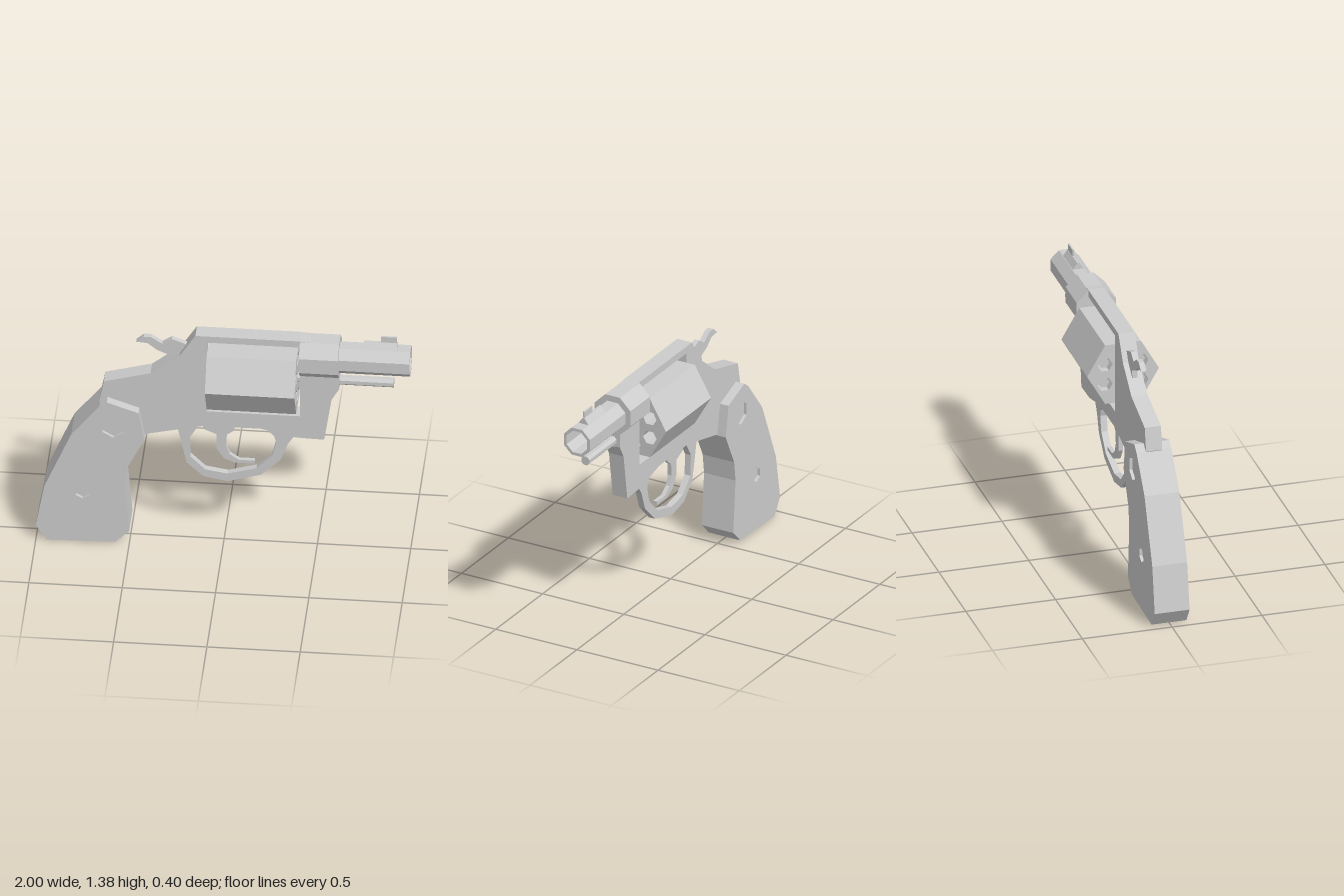
import * as THREE from 'three';

const steel = new THREE.MeshStandardMaterial({ color: 0xcccccc });
steel.name = 'plainGrey';

// regular polygon points; start is the angle of the first corner
function ngon(n, r, cx, cy, start = 0) {
  return Array.from({ length: n }, (_, i) => {
    const a = start + (i / n) * Math.PI * 2;
    return new THREE.Vector2(cx + r * Math.cos(a), cy + r * Math.sin(a));
  });
}
const points = (list) => list.map(([x, y]) => new THREE.Vector2(x, y));
const octagon = (apothem, y) => ngon(8, apothem / Math.cos(Math.PI / 8), 0, y, Math.PI / 8);

function extruded(outline, holes, depth) {
  const shape = new THREE.Shape(outline);
  holes.forEach((h) => shape.holes.push(new THREE.Path(h)));
  return new THREE.ExtrudeGeometry(shape, { depth, bevelEnabled: false });
}

export function createModel() {
  const model = new THREE.Group();
  model.name = 'revolver';
  const add = (name, geometry) => {
    const mesh = new THREE.Mesh(geometry, steel);
    mesh.name = name;
    model.add(mesh);
    return mesh;
  };
  // side profile in x/y, from z0 to z1
  const plate = (name, outline, z0, z1, holes = []) =>
    add(name, extruded(outline, holes, z1 - z0).translate(0, 0, z0));
  // cross-section in z/y, running along x
  const bar = (name, section, x0, x1, holes = []) =>
    add(name, extruded(section, holes, x1 - x0).rotateY(Math.PI / 2).translate(x0, 0, 0));

  // frame with the cylinder window
  plate('frame', points([
    [-0.64, 1.02], [-0.39, 1.09], [-0.235, 1.215], [-0.15, 1.35], [0.41, 1.35], [0.62, 1.33],
    [0.62, 1.05], [0.58, 0.98], [0.54, 0.715], [0.39, 0.72], [0.2, 0.765], [-0.1, 0.765],
    [-0.42, 0.69], [-0.55, 0.7], [-0.665, 0.89],
  ]), -0.045, 0.045, [points([[-0.09, 0.86], [0.41, 0.86], [0.41, 1.31], [-0.09, 1.31]])]);

  // grip: core and two side panels with recessed screw holes
  const gripOutline = points([
    [-0.62, 0.92], [-0.45, 0.86], [-0.42, 0.685], [-0.51, 0.5], [-0.525, 0.385], [-0.5, 0.085],
    [-0.575, 0.01], [-0.94, 0], [-1, 0.09], [-0.955, 0.35], [-0.81, 0.7], [-0.66, 0.89],
  ]);
  const screwHoles = [
    ngon(6, 0.068, -0.585, 0.76, Math.PI / 6),
    ngon(6, 0.042, -0.75, 0.325, Math.PI / 6),
  ];
  plate('gripCore', gripOutline, -0.08, 0.08);
  plate('gripPanelLeft', gripOutline, 0.08, 0.097, screwHoles);
  plate('gripPanelRight', gripOutline, -0.097, -0.08, screwHoles);

  // trigger guard and trigger
  plate('triggerGuard', points([
    [-0.25, 0.735], [-0.2, 0.5], [-0.11, 0.415], [0.02, 0.39], [0.2, 0.445], [0.305, 0.55],
    [0.34, 0.65], [0.39, 0.73], [0.2, 0.775], [0.27, 0.7], [0.28, 0.66], [0.26, 0.575],
    [0.175, 0.485], [0.02, 0.44], [-0.1, 0.46], [-0.18, 0.54], [-0.185, 0.66], [-0.12, 0.77],
  ]), -0.018, 0.018);
  plate('trigger', points([
    [-0.12, 0.77], [-0.11, 0.72], [-0.04, 0.69], [-0.04, 0.6], [0, 0.535], [0.06, 0.51],
    [0.165, 0.51], [0.165, 0.53], [0.08, 0.53], [0.03, 0.565], [0.01, 0.62], [0.015, 0.69],
    [0.055, 0.72], [0.06, 0.77],
  ]), -0.012, 0.012);

  // hammer with curled spur
  plate('hammer', points([
    [-0.47, 1.27], [-0.43, 1.305], [-0.39, 1.305], [-0.33, 1.265], [-0.28, 1.3], [-0.2, 1.27],
    [-0.2, 1.2], [-0.31, 1.13], [-0.305, 1.2], [-0.36, 1.225], [-0.41, 1.265],
  ]), -0.015, 0.015);

  // six-sided cylinder with chambers, each holding a pointed slug
  const chambers = [];
  for (let i = 0; i < 6; i++) {
    const a = Math.PI / 6 + (i * Math.PI) / 3;
    const z = 0.115 * Math.cos(a), y = 1.085 + 0.115 * Math.sin(a);
    chambers.push(ngon(6, 0.042, z, y));
    const slug = new THREE.CylinderGeometry(0.006, 0.031, 0.08, 6).toNonIndexed();
    slug.rotateY(Math.PI / 2).rotateZ(-Math.PI / 2).computeVertexNormals();
    add('slug', slug.translate(0.3, y, -z));
    bar('slugBody', ngon(6, 0.031, z, y), -0.06, 0.26);
  }
  bar('cylinder', ngon(6, 0.2, 0, 1.085), -0.085, 0.395, chambers);
  bar('cylinderPin', octagon(0.025, 1.085), -0.1, 0.42);

  // barrel: shroud, solid breech and open bore
  bar('barrelShroud', octagon(0.11, 1.235), 0.41, 0.62);
  bar('barrelBreech', octagon(0.08, 1.23), 0.6, 0.76);
  bar('barrelMuzzle', octagon(0.08, 1.23), 0.76, 1, [octagon(0.063, 1.23)]);

  // ejector rod and its housing
  bar('ejectorHousing', octagon(0.035, 1.08), 0.41, 0.62);
  bar('ejectorRod', octagon(0.025, 1.083), 0.6, 0.91);

  // front sight: ridged base and thin blade
  bar('sightBase', points([[-0.034, 1.305], [0.034, 1.305], [0.005, 1.345], [-0.005, 1.345]]), 0.75, 0.93);
  plate('sightBlade', points([[0.84, 1.33], [0.925, 1.33], [0.925, 1.38], [0.84, 1.38]]), -0.005, 0.005);

  return model;
}
